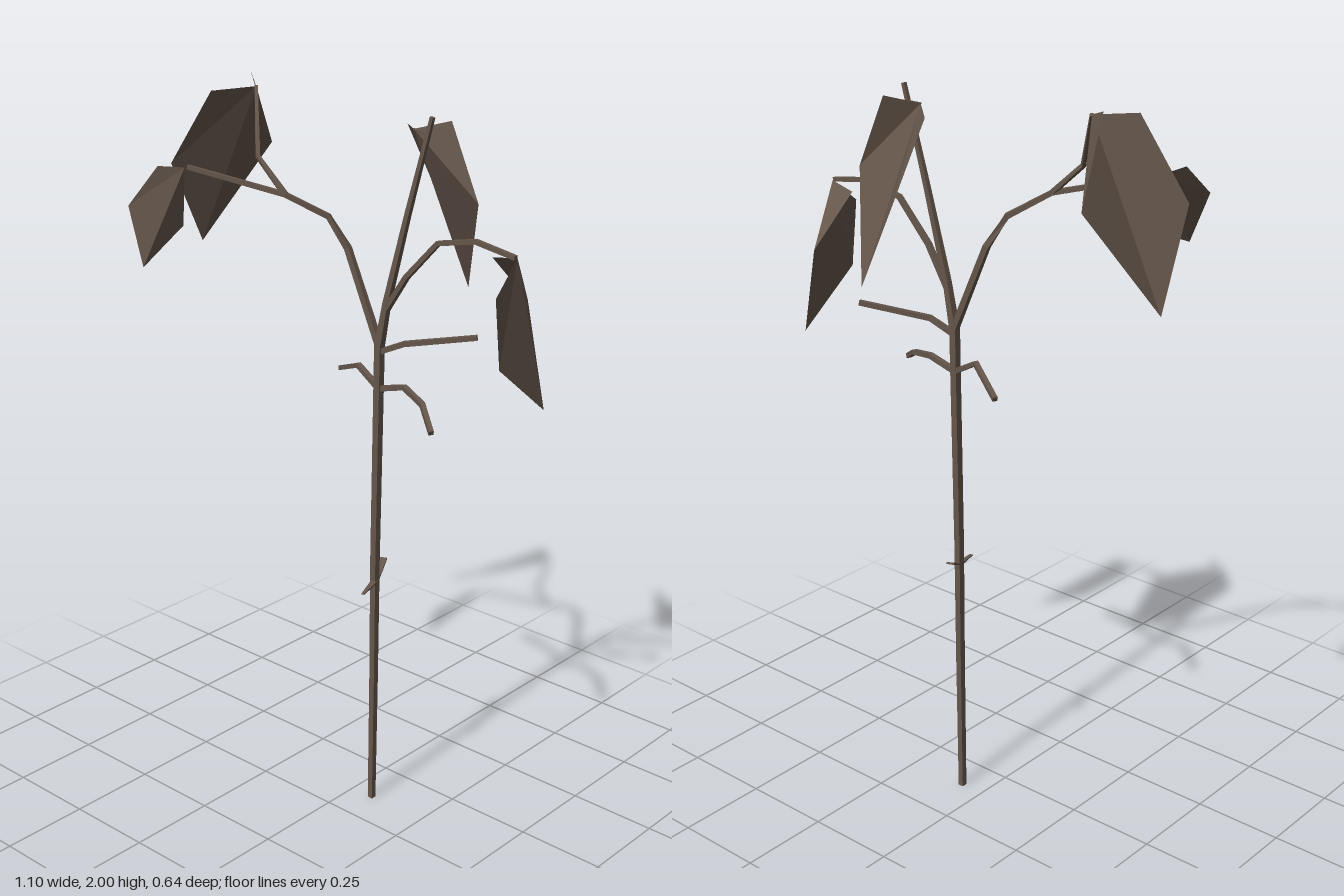
import * as THREE from 'three';

const material = new THREE.MeshStandardMaterial({ color: 0x65564b, flatShading: true, side: THREE.DoubleSide });
const SIDES = 4;

function makeMesh(name, positions, indices) {
  const geometry = new THREE.BufferGeometry();
  geometry.setAttribute('position', new THREE.Float32BufferAttribute(positions, 3));
  geometry.setIndex(indices);
  geometry.computeVertexNormals();
  const mesh = new THREE.Mesh(geometry, material);
  mesh.name = name;
  return mesh;
}

// Tapered four-sided limb through a list of points; flat < 1 thins it vertically
function limb(name, path, r0, r1, flat = 1) {
  const pts = path.map(p => new THREE.Vector3(...p));
  const last = pts.length - 1;
  const span = pts[last].clone().sub(pts[0]).normalize();
  const ref = Math.abs(span.y) > 0.75 ? new THREE.Vector3(0, 0, 1) : new THREE.Vector3(0, 1, 0);
  const positions = [], indices = [];
  pts.forEach((p, i) => {
    const tangent = pts[Math.min(i + 1, last)].clone().sub(pts[Math.max(i - 1, 0)]).normalize();
    const side = new THREE.Vector3().crossVectors(ref, tangent).normalize();
    const up = new THREE.Vector3().crossVectors(tangent, side);
    const r = THREE.MathUtils.lerp(r0, r1, i / last);
    for (let k = 0; k < SIDES; k++) {
      const a = (k + 0.5) / SIDES * Math.PI * 2;
      const v = p.clone().addScaledVector(side, r * Math.cos(a)).addScaledVector(up, r * flat * Math.sin(a));
      positions.push(v.x, v.y, v.z);
      if (i < last) {
        const b = i * SIDES + k, c = i * SIDES + (k + 1) % SIDES;
        indices.push(b, c, c + SIDES, b, c + SIDES, b + SIDES);
      }
    }
  });
  // End caps
  const e = last * SIDES;
  indices.push(0, 2, 1, 0, 3, 2, e, e + 1, e + 2, e, e + 2, e + 3);
  return makeMesh(name, positions, indices);
}

// Leaf folded along its midrib: base, two edge points, tip, two edge points back
function leaf(name, outline) {
  return makeMesh(name, outline.flat(), [0, 1, 2, 0, 2, 3, 0, 3, 4, 0, 4, 5]);
}

export function createModel() {
  const plant = new THREE.Group();
  plant.name = 'plant';

  // Main stem
  plant.add(limb('stem', [[0.07, 0, -0.105], [0.077, 0.4, -0.1], [0.08, 0.75, -0.097], [0.085, 1.37, -0.1]], 0.011, 0.014));

  // Large branches
  plant.add(limb('centreBranch', [[0.085, 1.36, -0.1], [0.108, 1.48, -0.1], [0.17, 1.72, -0.103], [0.24, 1.97, -0.105]], 0.014, 0.007));
  plant.add(limb('rightBranch', [[0.085, 1.36, -0.1], [-0.025, 1.6, -0.1], [-0.07, 1.68, -0.075],
    [-0.15, 1.737, 0], [-0.38, 1.793, 0.12]], 0.012, 0.008));
  plant.add(limb('rightForkBranch', [[-0.15, 1.737, 0], [-0.245, 1.82, 0], [-0.345, 1.973, -0.1]], 0.009, 0.006));
  plant.add(limb('leftBranch', [[0.105, 1.46, -0.1], [0.18, 1.565, -0.09], [0.28, 1.67, -0.088],
    [0.395, 1.695, -0.088], [0.515, 1.677, -0.088]], 0.01, 0.008));
  plant.add(limb('leafStalk', [[0.225, 1.925, -0.105], [0.17, 1.93, -0.12]], 0.004, 0.003));

  // Bare twigs
  plant.add(limb('upperTwig', [[0.085, 1.345, -0.1], [0.155, 1.378, -0.115], [0.318, 1.408, -0.207]], 0.01, 0.009));
  plant.add(limb('rightTwig', [[0.085, 1.245, -0.1], [0.005, 1.288, -0.11], [-0.113, 1.238, -0.172]], 0.01, 0.009));
  plant.add(limb('leftTwig', [[0.085, 1.245, -0.1], [0.17, 1.268, -0.1], [0.255, 1.25, -0.07], [0.33, 1.207, -0.015]], 0.01, 0.009));

  // Pair of thin shoots low on the stem
  plant.add(limb('backShoot', [[0.08, 0.692, -0.1], [0.052, 0.727, -0.165]], 0.013, 0.015, 0.25));
  plant.add(limb('frontShoot', [[0.08, 0.692, -0.1], [0.102, 0.684, -0.023]], 0.013, 0.006, 0.3));

  // Leaves
  plant.add(leaf('upperRightLeaf', [[-0.345, 1.973, -0.1], [-0.405, 1.968, 0.005], [-0.527, 1.767, 0.04],
    [-0.55, 1.528, -0.09], [-0.44, 1.79, -0.255], [-0.42, 2.0, -0.155]]));
  plant.add(leaf('lowerRightLeaf', [[-0.38, 1.793, 0.13], [-0.405, 1.805, 0.2], [-0.41, 1.72, 0.3],
    [-0.34, 1.577, 0.32], [-0.375, 1.645, 0.145], [-0.42, 1.757, 0.125]]));
  plant.add(leaf('centreLeaf', [[0.17, 1.93, -0.12], [0.083, 1.92, -0.2], [0.082, 1.73, -0.32],
    [0.207, 1.496, -0.308], [0.333, 1.76, -0.175], [0.24, 1.95, -0.18]]));
  plant.add(leaf('leftLeaf', [[0.515, 1.675, -0.095], [0.433, 1.66, -0.105], [0.449, 1.528, -0.235],
    [0.546, 1.275, -0.187], [0.535, 1.42, -0.012], [0.53, 1.6, 0.005]]));

  return plant;
}
